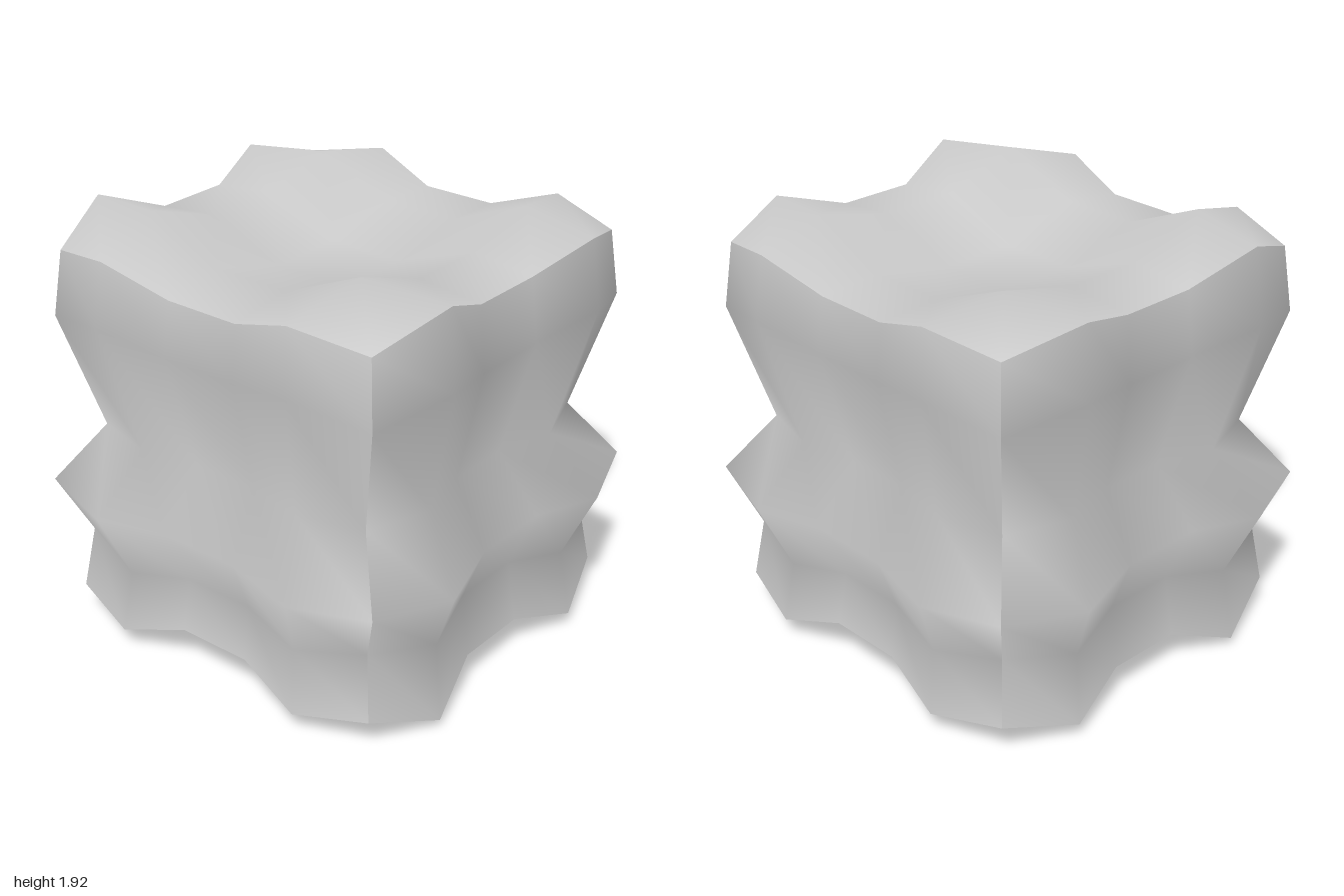
import * as THREE from 'three';

const N = 6; // points along each side of a face
const MID = 0.963; // height of the block's centre
const rowDepth = [0.81, 0.84, 0.71, 0.88, 0.77, 0.81]; // side profile, top to bottom
const rowY = [0.805, 0.515, 0, -0.258, -0.517, -0.805];
const across = [-1, -0.593, -0.215, 0.215, 0.593, 1];
const ring = (i) => Math.min(i, N - 1 - i); // 0 at the edge, 2 near the middle

// Height of the cap: one row per z (back to front), one column per ring in x
const capY = [
  [0.805, 0.865, 0.765],
  [0.895, 0.925, 0.775],
  [0.805, 0.835, 0.7],
  [0.805, 0.835, 0.7],
  [0.925, 0.962, 0.805],
  [0.805, 0.865, 0.765],
];
const capHeight = (ix, iz) => capY[iz][ring(ix)];

// Point on a wall: k = 0 front, 1 left (+x), 2 back, 3 right (-x)
function wallPoint(k, i, j) {
  const bulge = [1, k % 2 ? 1.14 : 1.107, 1.035][ring(i)];
  const d = rowDepth[j] * bulge;
  const t = rowDepth[j] * across[i];
  const r = N - 1 - i;
  let y = rowY[j] * [1, 1.13, 1.02][ring(i)];
  if (j === 0 || j === N - 1) {
    const [ix, iz] = [[i, N - 1], [N - 1, r], [r, 0], [0, i]][k];
    y = Math.sign(rowY[j]) * capHeight(ix, iz);
  }
  const [x, z] = [[t, d], [d, -t], [-t, -d], [-d, t]][k];
  return [x, y, z];
}

// Point on the top cap; its rim follows the walls
function capPoint(i, j) {
  if (j === N - 1) return wallPoint(0, i, 0);
  if (j === 0) return wallPoint(2, N - 1 - i, 0);
  if (i === N - 1) return wallPoint(1, N - 1 - j, 0);
  if (i === 0) return wallPoint(3, j, 0);
  const c = [0, -0.55, -0.18, 0.18, 0.55];
  return [c[i], capHeight(i, j), c[j]];
}

// Smooth sheet from a grid of points, columns i and rows j
function sheet(name, point) {
  const pos = [], idx = [];
  for (let j = 0; j < N; j++) {
    for (let i = 0; i < N; i++) {
      pos.push(...point(i, j));
      if (i < N - 1 && j < N - 1) {
        const a = j * N + i, b = a + N;
        idx.push(a, b, b + 1, a, b + 1, a + 1);
      }
    }
  }
  const geo = new THREE.BufferGeometry();
  geo.setAttribute('position', new THREE.Float32BufferAttribute(pos, 3));
  geo.setIndex(idx);
  geo.computeVertexNormals();
  const mesh = new THREE.Mesh(geo, new THREE.MeshStandardMaterial({ color: 0xcccccc }));
  mesh.name = name;
  mesh.position.y = MID;
  return mesh;
}

export function createModel() {
  const group = new THREE.Group();
  group.name = 'rippledBlock';

  // Four rippled walls
  ['frontWall', 'leftWall', 'backWall', 'rightWall'].forEach((name, k) => {
    group.add(sheet(name, (i, j) => wallPoint(k, i, j)));
  });

  // Top cap and its mirror image below
  group.add(sheet('topCap', capPoint));
  group.add(sheet('bottomCap', (i, j) => {
    const [x, y, z] = capPoint(i, N - 1 - j);
    return [x, -y, z];
  }));
  return group;
}
